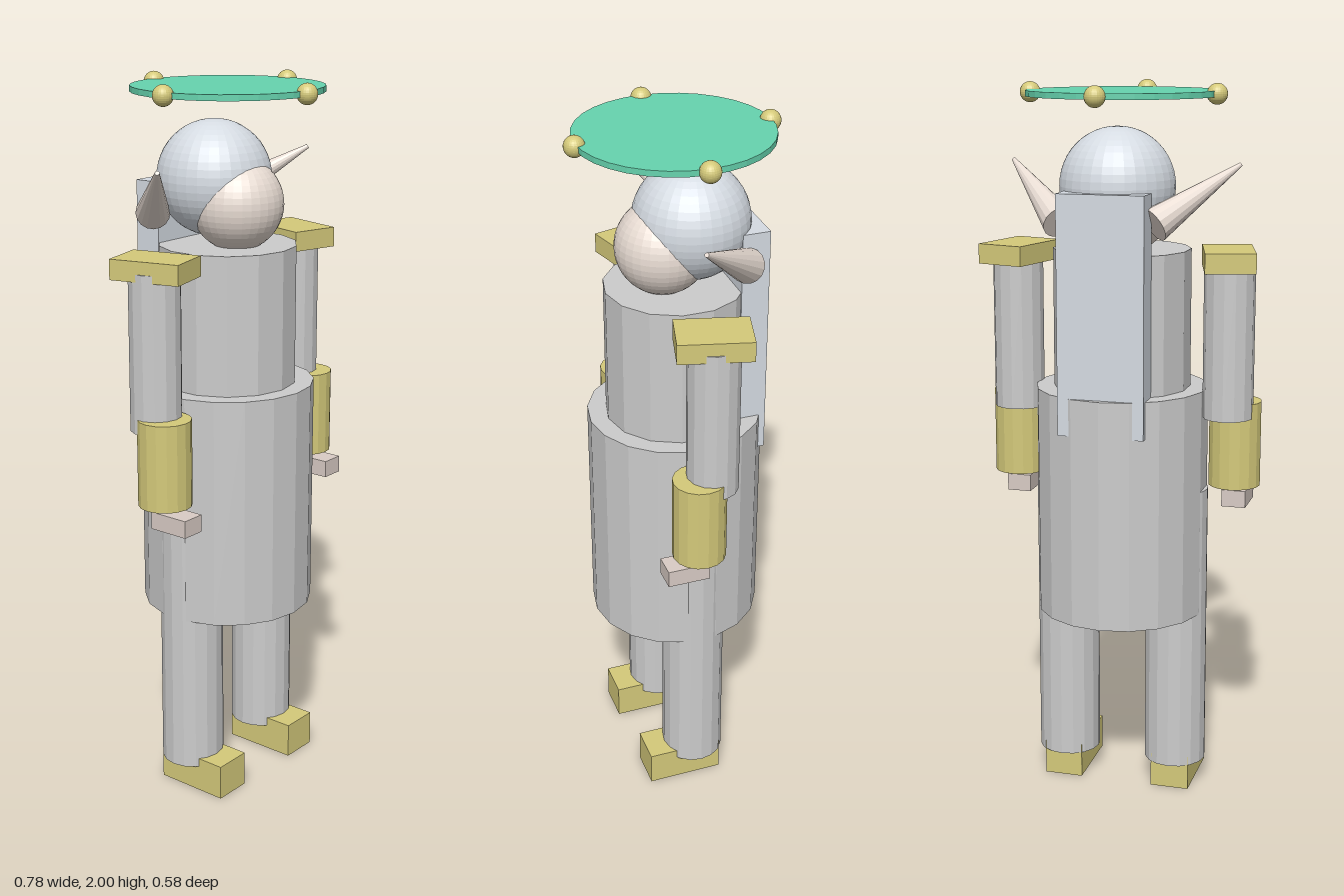
import * as THREE from 'three';

const mat = (color) => new THREE.MeshStandardMaterial({ color, flatShading: true });
const grey = mat(0xcccccc), gold = mat(0xd4c97a), jade = mat(0x66d3ae);
const skin = mat(0xd9ccc5), pale = mat(0xe8dcd3), silver = mat(0xd5dbe2);

function add(parent, name, geometry, material, x, y, z) {
  const mesh = new THREE.Mesh(geometry, material);
  mesh.name = name;
  mesh.position.set(x, y, z);
  parent.add(mesh);
  return mesh;
}

// Upright cylinder given by its bottom and top heights
function column(parent, name, r, sides, y0, y1, material, x = 0, z = 0) {
  return add(parent, name, new THREE.CylinderGeometry(r, r, y1 - y0, sides), material, x, (y0 + y1) / 2, z);
}

const box = (w, h, d) => new THREE.BoxGeometry(w, h, d);

export function createModel() {
  const model = new THREE.Group();
  model.name = 'figure';

  // Body
  column(model, 'skirt', 0.24, 18, 0.53, 1.175, grey);
  column(model, 'torso', 0.19, 14, 1.15, 1.557, grey);
  add(model, 'backPanel', box(0.24, 0.65, 0.077), silver, 0, 1.397, -0.183);

  // Head with the face set low at its front
  add(model, 'hair', new THREE.SphereGeometry(0.157, 32, 24), silver, 0, 1.731, -0.047);
  add(model, 'face', new THREE.SphereGeometry(0.127, 32, 24), pale, 0, 1.668, 0.032);

  // Limbs and ears, mirrored
  for (const [side, s] of [['left', 1], ['right', -1]]) {
    const half = new THREE.Group();
    half.name = side + 'Side';
    model.add(half);

    column(half, 'leg', 0.088, 16, 0.075, 0.89, grey, s * 0.16);
    add(half, 'shoe', box(0.11, 0.1, 0.216), gold, s * 0.16, 0.05, 0.04);

    column(half, 'upperArm', 0.07, 14, 1.1, 1.53, grey, s * 0.302);
    column(half, 'bracer', 0.073, 16, 0.9, 1.14, gold, s * 0.315, 0.04);
    add(half, 'hand', box(0.068, 0.048, 0.118), skin, s * 0.317, 0.86, 0.08);
    const shoulder = add(half, 'shoulderPlate', box(0.137, 0.055, 0.197), gold, s * 0.298, 1.537, 0);
    shoulder.rotation.y = -s * THREE.MathUtils.degToRad(15);

    // Ear sweeping outward, upward and forward
    const root = new THREE.Vector3(s * 0.13, 1.64, -0.155);
    const tip = new THREE.Vector3(s * 0.32, 1.787, 0.03);
    const dir = tip.clone().sub(root);
    const mid = root.clone().add(tip).multiplyScalar(0.5);
    const ear = add(half, 'ear', new THREE.CylinderGeometry(0.006, 0.047, dir.length(), 16), pale, mid.x, mid.y, mid.z);
    ear.quaternion.setFromUnitVectors(new THREE.Vector3(0, 1, 0), dir.normalize());
  }

  // Floating disc with four beads on its rim
  column(model, 'haloDisc', 0.26, 32, 1.964, 1.98, jade);
  for (let i = 0; i < 4; i++) {
    const a = (i * Math.PI) / 2;
    add(model, 'haloBead', new THREE.SphereGeometry(0.028, 24, 16), gold, 0.26 * Math.sin(a), 1.972, 0.26 * Math.cos(a));
  }

  return model;
}
